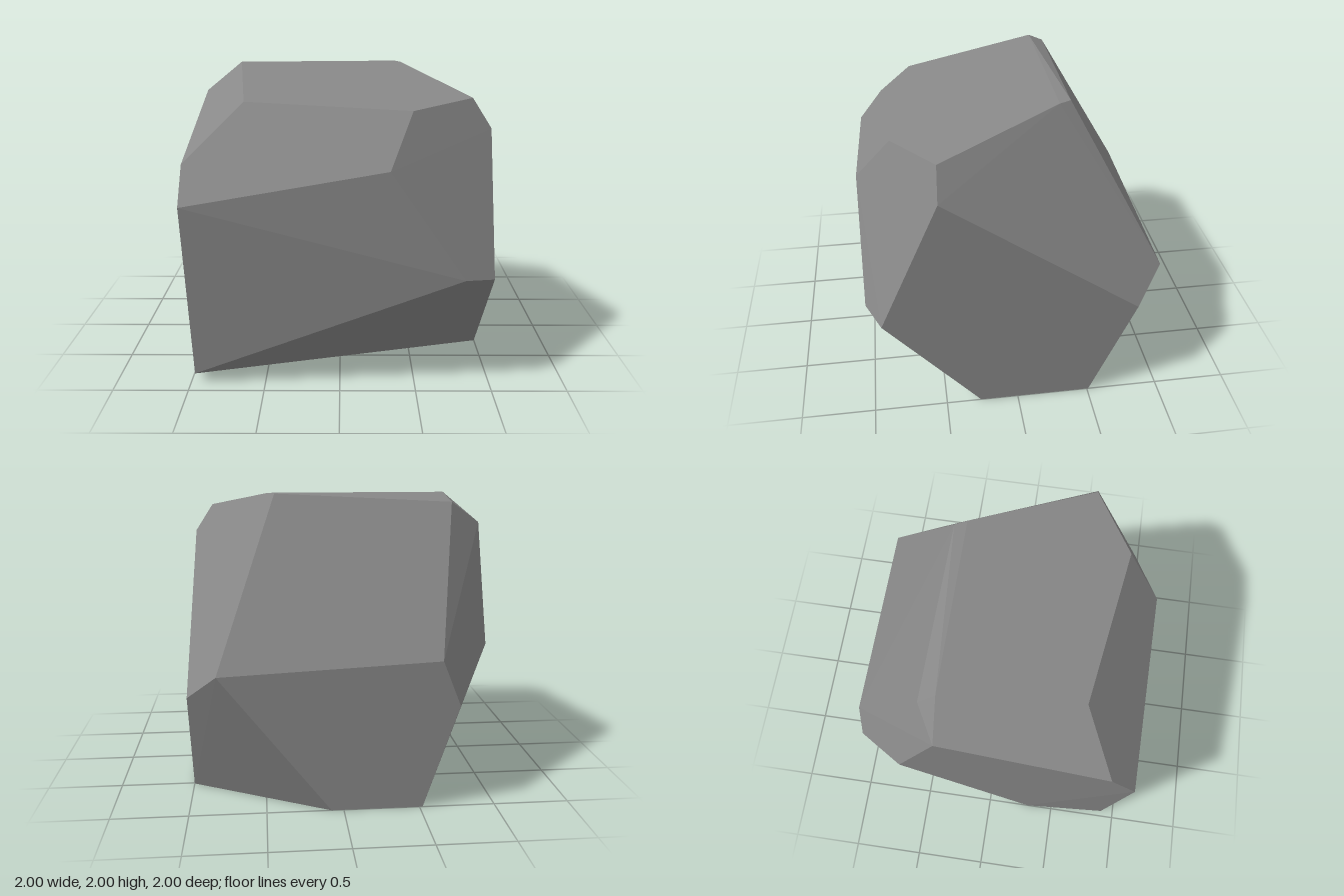
import * as THREE from 'three';
import { ConvexGeometry } from 'three/addons/geometries/ConvexGeometry.js';

// Corners of the faceted boulder, grouped by region
const corners = {
  crest: [[-0.74, 2, -0.33], [0.45, 2, -0.33], [0.41, 2, -0.41], [-0.78, 1.94, -0.44]],
  shoulder: [[-0.62, 1.85, 0.59], [0.46, 1.82, 0.76], [0.87, 1.86, 0.49], [1, 1.66, 0.5], [-1, 1.79, -0.32]],
  front: [[-1, 1.49, 0.82], [-1, 1.26, 1], [0.31, 1.49, 1], [0.8, 0.78, 1], [1, 0.75, 0.9], [-0.97, 0.07, 0.9]],
  back: [[-1, 1, -0.63], [-0.75, 0.69, -1], [-0.63, 0.99, -1], [0.8, 0.92, -1], [1, 0.73, -0.81]],
  base: [[-1, 0, 0.31], [1, 0, 0.26], [1, 0, -0.51], [0.08, 0, -1], [-0.52, 0, -1]],
};

export function createModel() {
  const group = new THREE.Group();
  group.name = 'boulder';

  const stone = new THREE.MeshStandardMaterial({ color: 0x888888 });
  stone.name = 'grey stone';

  // The rock is the convex hull of its corners, with flat facets
  const points = Object.values(corners).flat().map((p) => new THREE.Vector3(...p));
  const rock = new THREE.Mesh(new ConvexGeometry(points), stone);
  rock.name = 'rock';
  group.add(rock);

  return group;
}
